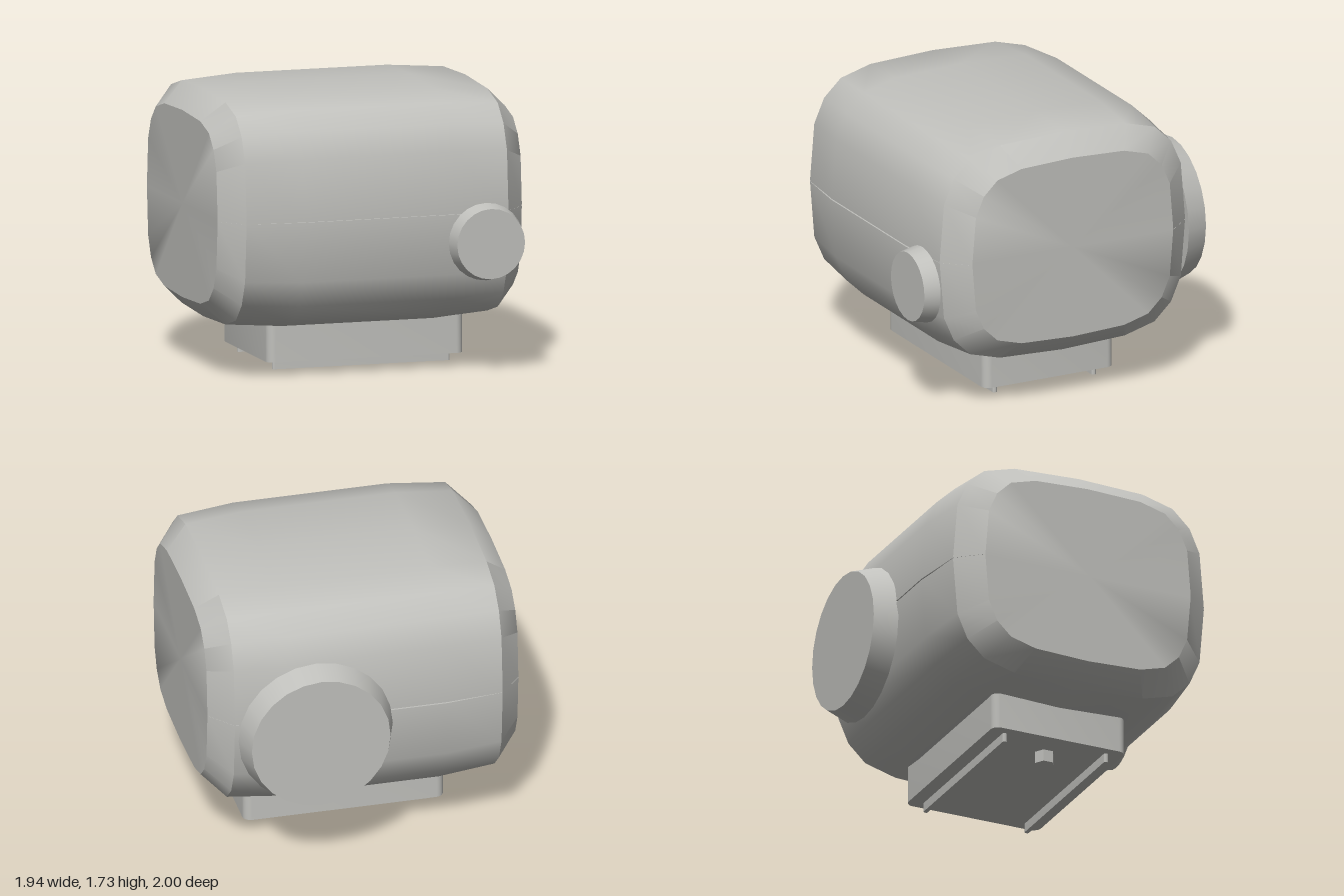
import * as THREE from 'three';
import { toCreasedNormals } from 'three/addons/utils/BufferGeometryUtils.js';

const GROOVE = 0.004; // half height of the seam groove

// Quarter of the cross-section as fractions of the half depth and half height
const QUARTER = [[1, 0], [0.965, 0.52], [0.885, 0.74], [0.75, 0.895], [0.51, 0.975], [0, 1]];

// Closed cross-section at x, with a seam groove on the front and back
function section(x, halfZ, halfY, depth) {
  const q = QUARTER.map(([z, y]) => [z * halfZ, Math.max(y * halfY, GROOVE)]);
  q.unshift([halfZ - depth, GROOVE]);
  const upper = [...q, ...q.slice(0, -1).reverse().map(([z, y]) => [-z, y])];
  const lower = upper.map(([z, y]) => [-z, -y]);
  return [...upper, ...lower].map(([z, y]) => [x, y + 1.005, z + 0.02]);
}

// Shell through the cross-sections, closed by flat ends
function loft(rings) {
  const n = rings[0].length;
  const index = [];
  for (let i = 0; i < rings.length - 1; i++) {
    for (let j = 0; j < n; j++) {
      const k = (j + 1) % n;
      const a = i * n + j, b = i * n + k, c = b + n, d = a + n;
      index.push(a, d, b, d, c, b);
    }
  }
  const last = (rings.length - 1) * n;
  const startCentre = rings.length * n;
  for (let j = 0; j < n; j++) {
    const k = (j + 1) % n;
    index.push(startCentre, j, k, startCentre + 1, last + k, last + j);
  }
  const points = [...rings.flat(), [rings[0][0][0], 1.005, 0.02], [rings.at(-1)[0][0], 1.005, 0.02]];
  const g = new THREE.BufferGeometry();
  g.setAttribute('position', new THREE.Float32BufferAttribute(points.flat(), 3));
  g.setIndex(index);
  return toCreasedNormals(g, THREE.MathUtils.degToRad(40));
}

// Upright block with rounded vertical corners
function roundedBlock(x0, x1, y0, y1, z0, z1, r) {
  const s = new THREE.Shape();
  s.absarc(x1 - r, -z0 - r, r, 0, Math.PI / 2);
  s.absarc(x0 + r, -z0 - r, r, Math.PI / 2, Math.PI);
  s.absarc(x0 + r, -z1 + r, r, Math.PI, Math.PI * 1.5);
  s.absarc(x1 - r, -z1 + r, r, Math.PI * 1.5, Math.PI * 2);
  const g = new THREE.ExtrudeGeometry(s, { depth: y1 - y0, bevelEnabled: false, curveSegments: 4 });
  g.rotateX(-Math.PI / 2).translate(0, y0, 0);
  return toCreasedNormals(g, 0.6);
}

export function createModel() {
  const model = new THREE.Group();
  model.name = 'device';
  const grey = new THREE.MeshStandardMaterial({ color: 0xc0c0bc });
  grey.name = 'light grey';

  const add = (name, geometry, x = 0, y = 0, z = 0) => {
    const mesh = new THREE.Mesh(geometry, grey);
    mesh.name = name;
    mesh.position.set(x, y, z);
    model.add(mesh);
    return mesh;
  };

  // Rounded housing with chamfered ends
  add('housing', loft([
    section(-0.97, 0.69, 0.575, 0.002),
    section(-0.835, 0.843, 0.7, 0.002),
    section(-0.48, 0.885, 0.725, 0.012),
    section(0.48, 0.885, 0.725, 0.012),
    section(0.835, 0.843, 0.7, 0.002),
    section(0.97, 0.69, 0.575, 0.002),
  ]));

  // Tapered round knobs on the front and back
  const frontKnob = new THREE.CylinderGeometry(0.216, 0.238, 0.1, 24).rotateX(Math.PI / 2);
  add('frontKnob', frontKnob, 0.68, 0.825, 0.95);
  const backKnob = new THREE.CylinderGeometry(0.433, 0.481, 0.143, 24).rotateX(-Math.PI / 2);
  add('backKnob', backKnob, 0.34, 0.91, -0.9285);

  // Mounting foot with two rails underneath
  add('foot', roundedBlock(-0.57, 0.68, 0.075, 0.31, -0.42, 0.47, 0.05));
  for (const [name, z] of [['frontRail', 0.365], ['backRail', -0.315]]) {
    add(name, roundedBlock(-0.51, 0.62, 0.018, 0.08, z - 0.014, z + 0.014, 0.012));
  }

  // Hexagonal bolt in the foot
  const bolt = toCreasedNormals(new THREE.CylinderGeometry(0.0625, 0.0625, 0.08, 6), 0.5);
  add('bolt', bolt, -0.345, 0.04, 0.025);

  return model;
}
